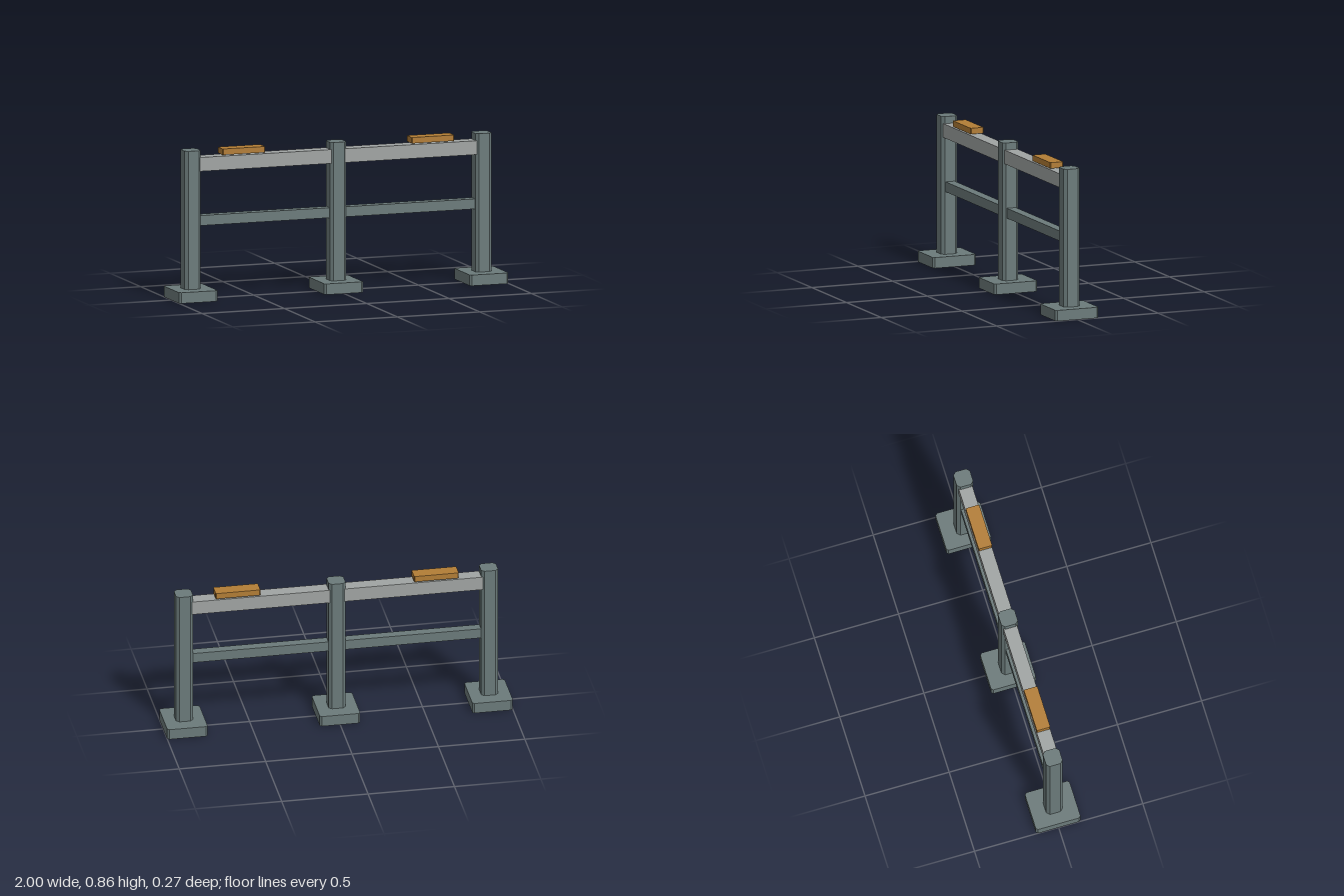
import * as THREE from 'three';

// Upright block whose four vertical edges are chamfered by c, base at y = 0
function chamferedBlock(w, h, d, c) {
  const x = w / 2, z = d / 2;
  const shape = new THREE.Shape([
    [x, -z + c], [x, z - c], [x - c, z], [-x + c, z],
    [-x, z - c], [-x, -z + c], [-x + c, -z], [x - c, -z],
  ].map(([a, b]) => new THREE.Vector2(a, b)));
  const geometry = new THREE.ExtrudeGeometry(shape, { depth: h, bevelEnabled: false });
  return geometry.rotateX(-Math.PI / 2);
}

export function createModel() {
  const model = new THREE.Group();
  model.name = 'guardRail';
  const paint = (color) => new THREE.MeshStandardMaterial({ color, flatShading: true });
  const steel = paint(0x6b7a7a);
  const lightSteel = paint(0xa0a4a3);
  const amber = paint(0xb27d35);

  const add = (name, geometry, material, x, y) => {
    const mesh = new THREE.Mesh(geometry, material);
    mesh.name = name;
    mesh.position.set(x, y, 0);
    model.add(mesh);
  };

  // Three posts on foot plates
  const footHeight = 0.062, top = 0.86, spacing = 0.883;
  const foot = chamferedBlock(0.234, footHeight, 0.266, 0.011);
  const post = chamferedBlock(0.098, top - footHeight, 0.098, 0.017);
  for (const [side, x] of [['right', -spacing], ['middle', 0], ['left', spacing]]) {
    add(side + 'Foot', foot, steel, x, 0);
    add(side + 'Post', post, steel, x, footHeight);
  }

  // Rails and amber reflectors, one set per bay
  const railLength = spacing - 0.07;
  const topRail = new THREE.BoxGeometry(railLength, 0.08, 0.08);
  const midRail = new THREE.BoxGeometry(railLength, 0.058, 0.056);
  const reflector = chamferedBlock(0.258, 0.034, 0.08, 0.004);
  for (const [side, s] of [['right', -1], ['left', 1]]) {
    add(side + 'TopRail', topRail, lightSteel, s * spacing / 2, 0.779);
    add(side + 'MidRail', midRail, steel, s * spacing / 2, 0.453);
    add(side + 'Reflector', reflector, amber, s * 0.574, top - 0.034);
  }
  return model;
}
